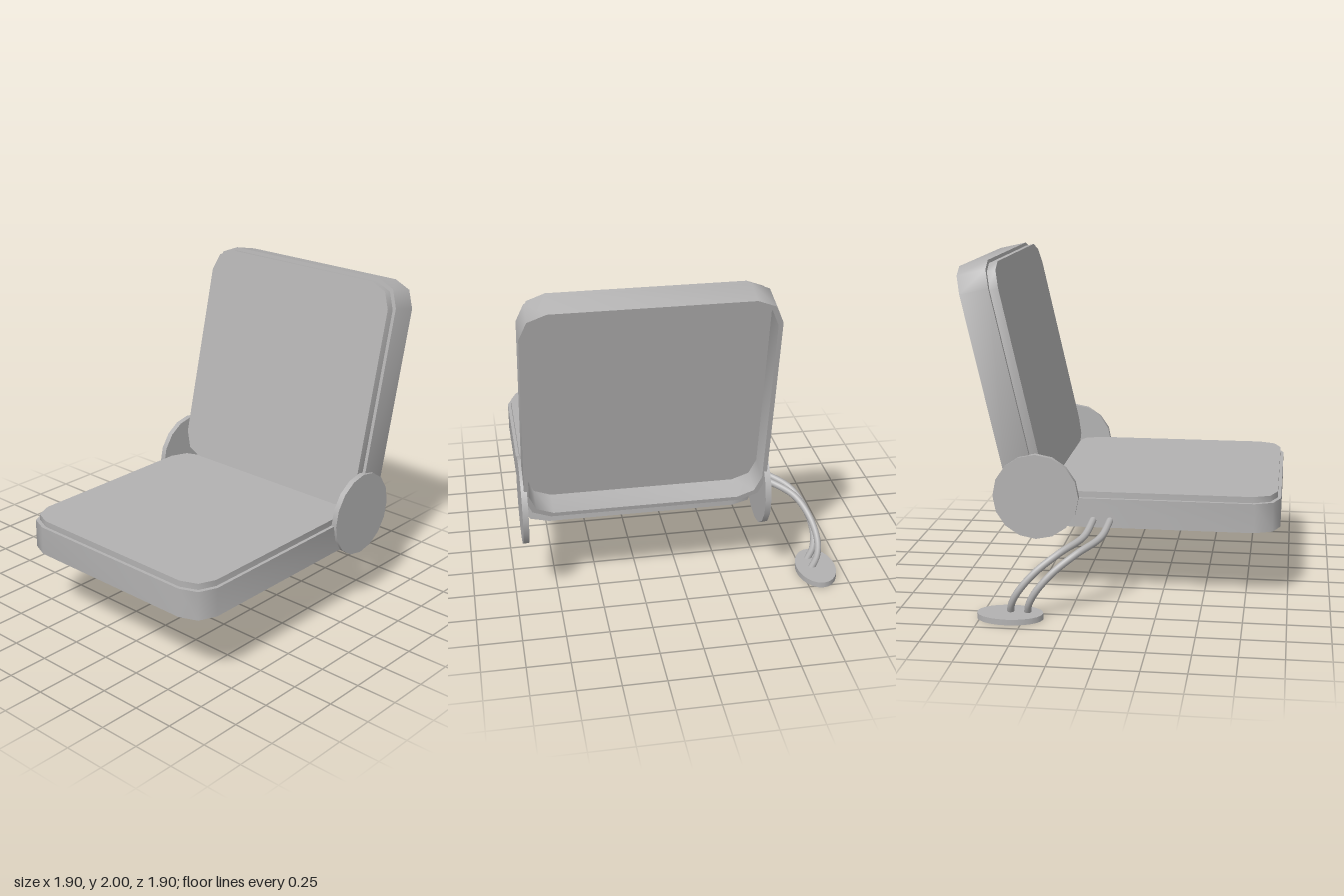
import * as THREE from 'three';
import { toCreasedNormals } from 'three/addons/utils/BufferGeometryUtils.js';

const CX = 0.2285;  // sideways middle of the seat
const HALF = 0.705; // half width of the square panels

// Square outline with two-facet corners, drawn inset from the panel edge
function outline(Type, inset) {
  const h = HALF - inset, r = 0.15 - inset * 0.4, c = h - r;
  const s = new Type();
  for (let i = 0; i < 12; i++) {
    const quarter = Math.floor(i / 3);
    const a = (quarter + (i % 3) / 2) * Math.PI / 2;
    const sx = quarter === 0 || quarter === 3 ? 1 : -1;
    const sy = quarter < 2 ? 1 : -1;
    const x = sx * c + r * Math.cos(a), y = sy * c + r * Math.sin(a);
    if (i === 0) s.moveTo(x, y);
    else s.lineTo(x, y);
  }
  s.closePath();
  return s;
}

function slab(shape, from, to) {
  const g = new THREE.ExtrudeGeometry(shape, { depth: to - from, bevelEnabled: false });
  g.translate(0, 0, from);
  return toCreasedNormals(g, 0.9);
}

export function createModel() {
  const model = new THREE.Group();
  const grey = new THREE.MeshStandardMaterial({ color: 0xb3b2b2 });
  grey.name = 'grey';

  const add = (parent, name, geometry) => {
    const mesh = new THREE.Mesh(geometry, grey);
    mesh.name = name;
    parent.add(mesh);
    return mesh;
  };

  // Hollow tray: a deep rim closed by a slightly raised, inset pad
  function tray(name, lip) {
    const group = new THREE.Group();
    group.name = name;
    const rim = outline(THREE.Shape, 0);
    rim.holes.push(outline(THREE.Path, 0.026));
    add(group, name + 'Rim', slab(rim, -0.175, 0));
    add(group, name + 'Pad', slab(outline(THREE.Shape, 0.02), -0.02, lip));
    model.add(group);
    return group;
  }

  const seat = tray('seat', 0.037);
  seat.rotation.x = -Math.PI / 2;
  seat.position.set(CX, 0.625, 0.243);

  const backrest = tray('backrest', 0.052);
  backrest.rotation.x = -0.222;
  backrest.position.set(CX, 1.3125, -0.6255);

  // Round hinge plates on both sides
  for (const side of [-1, 1]) {
    const hinge = add(model, side < 0 ? 'rightHinge' : 'leftHinge',
      new THREE.CylinderGeometry(0.257, 0.257, 0.034, 16));
    hinge.rotation.z = Math.PI / 2;
    hinge.position.set(CX + side * 0.705, 0.626, -0.49);
  }

  // Pair of curved stalks running from the seat edge down to the footrest
  const path = [
    [-0.455, 0.5, -0.145], [-0.62, 0.432, -0.185], [-0.76, 0.377, -0.3],
    [-0.832, 0.28, -0.43], [-0.856, 0.17, -0.525], [-0.842, 0.09, -0.567], [-0.805, 0.02, -0.582],
  ];
  ['rearStalk', 'frontStalk'].forEach((name, i) => {
    const curve = new THREE.CatmullRomCurve3(
      path.map(([x, y, z]) => new THREE.Vector3(x, y, z + i * 0.1)));
    add(model, name, new THREE.TubeGeometry(curve, 32, 0.021, 10));
  });

  // Oval foot plate
  const foot = add(model, 'footPlate', new THREE.CylinderGeometry(1, 1, 0.034, 24));
  foot.scale.set(0.12, 1, 0.193);
  foot.position.set(-0.834, 0.017, -0.578);

  return model;
}
